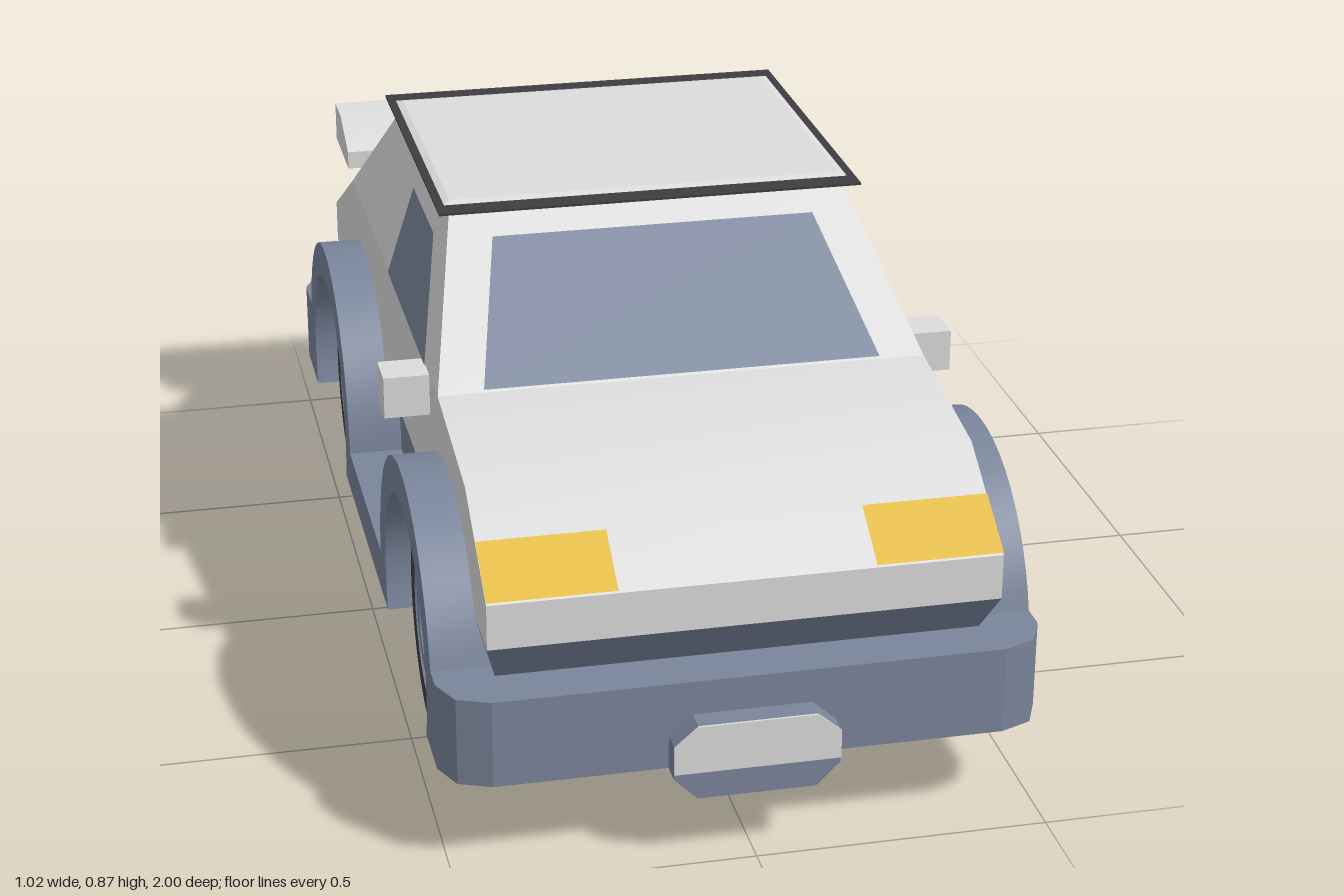
import * as THREE from 'three';
import { toCreasedNormals } from 'three/addons/utils/BufferGeometryUtils.js';

const material = (name, color) => Object.assign(new THREE.MeshStandardMaterial({ color }), { name });

export function createModel() {
  const white = material('white paint', 0xdcdcdc);
  const slate = material('slate trim and glass', 0x7a859b);
  const dark = material('dark trim', 0x403d42);
  const black = material('tyre black', 0x242325);
  const yellow = material('headlight yellow', 0xe2b936);
  const red = material('taillight red', 0xdc5045);

  const car = new THREE.Group();
  car.name = 'car';
  const add = (name, geometry, mat, parent = car) => {
    const mesh = new THREE.Mesh(geometry, mat);
    mesh.name = name;
    parent.add(mesh);
    return mesh;
  };
  const box = (name, mat, x0, x1, y0, y1, z0, z1) => add(name,
    new THREE.BoxGeometry(x1 - x0, y1 - y0, z1 - z0)
      .translate((x0 + x1) / 2, (y0 + y1) / 2, (z0 + z1) / 2), mat);
  const shapeOf = (points) => new THREE.Shape(points.map(([a, b]) => new THREE.Vector2(a, b)));

  // Side profile of [z, y] points, extruded across x
  const extrudeX = (points, x0, x1) => {
    const g = new THREE.ExtrudeGeometry(shapeOf(points), { depth: x1 - x0, bevelEnabled: false });
    return g.rotateY(-Math.PI / 2).translate(x1, 0, 0);
  };

  // Tapered block; each level is [y, half width, rear z, front z]
  const frustum = (low, high) => {
    const g = new THREE.BoxGeometry(2, 2, 2);
    const p = g.attributes.position;
    for (let i = 0; i < p.count; i++) {
      const [y, w, zr, zf] = p.getY(i) > 0 ? high : low;
      p.setXYZ(i, p.getX(i) * w, y, p.getZ(i) > 0 ? zf : zr);
    }
    g.computeVertexNormals();
    return g;
  };

  // Flat painted panel, lifted slightly off the body and facing outward
  const panel = (name, mat, corners) => {
    const v = corners.map((c) => new THREE.Vector3(...c));
    const n = v[1].clone().sub(v[0]).cross(v[2].clone().sub(v[0])).normalize();
    if (n.dot(v[0].clone().sub(new THREE.Vector3(0, 0.35, 0))) < 0) {
      v.reverse();
      n.negate();
    }
    v.forEach((c) => c.addScaledVector(n, 0.004));
    const tris = [];
    for (let i = 1; i < v.length - 1; i++) tris.push(v[0], v[i], v[i + 1]);
    const g = new THREE.BufferGeometry().setFromPoints(tris);
    g.computeVertexNormals();
    return add(name, g, mat);
  };

  // Main white body and cabin
  add('body', toCreasedNormals(extrudeX([[0.92, 0.39], [0.92, 0.47], [0.73, 0.59], [0.45, 0.63],
    [-0.65, 0.63], [-0.96, 0.47], [-0.96, 0.39]], -0.43, 0.43), 0.45), white);
  add('cabin', frustum([0.63, 0.43, -0.65, 0.45], [0.862, 0.355, -0.41, 0.14]), white);
  box('roofRim', dark, -0.382, 0.382, 0.86, 0.864, -0.473, 0.197);
  add('roofPanel', frustum([0.864, 0.367, -0.435, 0.155], [0.868, 0.355, -0.42, 0.14]), white);

  // Lower hull and tapered valance
  add('valance', frustum([0.315, 0.41, -0.91, 0.87], [0.39, 0.43, -0.96, 0.92]), slate);
  box('floorHull', slate, -0.41, 0.41, 0.16, 0.32, -0.82, 0.84);

  // Side skirts with raised wheel arches and round cutouts
  const axleY = 0.235, frontZ = 0.54, rearZ = -0.495;
  const arc = (z, r, from, to) => Array.from({ length: 25 }, (_, i) => {
    const a = from + (to - from) * i / 24;
    return [z + r * Math.cos(a), axleY + r * Math.sin(a)];
  });
  const cut = (z) => arc(z, 0.24, Math.PI + 0.318, -0.318);
  const skirt = [[0.85, 0.16], [0.85, 0.315],
    ...arc(frontZ, 0.305, 0.265, Math.PI - 0.016),
    ...arc(rearZ, 0.305, 0.016, Math.PI - 0.265),
    [-0.82, 0.315], [-0.82, 0.16], ...cut(rearZ), ...cut(frontZ)];
  for (const s of [1, -1]) {
    const [a, b] = s > 0 ? [0.4, 0.51] : [-0.51, -0.4];
    add(s > 0 ? 'leftSkirt' : 'rightSkirt', toCreasedNormals(extrudeX(skirt, a, b), 0.5), slate);
  }

  // Bumpers with cut corners, and number plate holders
  const bumper = shapeOf([[-0.51, -0.8], [0.51, -0.8], [0.51, -0.88], [0.485, -0.935], [0.43, -0.957],
    [-0.43, -0.957], [-0.485, -0.935], [-0.51, -0.88]]);
  const holder = shapeOf([[-0.1, 0.12], [0.1, 0.12], [0.14, 0.16], [0.14, 0.22], [0.1, 0.255],
    [-0.1, 0.255], [-0.14, 0.22], [-0.14, 0.16]]);
  const plate = shapeOf([[-0.14, 0.17], [0.14, 0.17], [0.14, 0.22], [0.1, 0.255], [-0.1, 0.255], [-0.14, 0.22]]);
  for (const end of ['front', 'rear']) {
    const group = new THREE.Group();
    group.name = end + 'Bumper';
    if (end === 'rear') group.rotation.y = Math.PI;
    add('bumperBar', new THREE.ExtrudeGeometry(bumper, { depth: 0.155, bevelEnabled: false })
      .rotateX(-Math.PI / 2).translate(0, 0.16, 0), slate, group);
    add('plateHolder', new THREE.ExtrudeGeometry(holder, { depth: 0.046, bevelEnabled: false })
      .translate(0, 0, 0.95), slate, group);
    add('plate', new THREE.ExtrudeGeometry(plate, { depth: 0.004, bevelEnabled: false })
      .translate(0, 0, 0.996), white, group);
    car.add(group);
  }

  // Windows
  const screenZ = (y) => 0.45 - (y - 0.63) / 0.232 * 0.31;
  const backZ = (y) => -0.65 + (y - 0.63) / 0.232 * 0.24;
  const sideX = (y) => 0.43 - (y - 0.63) / 0.232 * 0.075;
  panel('windscreen', slate, [[-0.35, 0.632, screenZ(0.632)], [0.35, 0.632, screenZ(0.632)],
    [0.29, 0.815, screenZ(0.815)], [-0.29, 0.815, screenZ(0.815)]]);
  panel('rearWindow', slate, [[-0.335, 0.68, backZ(0.68)], [0.335, 0.68, backZ(0.68)],
    [0.29, 0.815, backZ(0.815)], [-0.29, 0.815, backZ(0.815)]]);

  // Mirrored small parts
  for (const s of [1, -1]) {
    const side = s > 0 ? 'left' : 'right';
    const span = (a, b) => (s > 0 ? [a, b] : [-b, -a]);
    panel(side + 'Window', slate, [[0.32, 0.632], [0.11, 0.795], [-0.13, 0.795], [-0.13, 0.632]]
      .map(([z, y]) => [s * sideX(y), y, z]));
    panel(side + 'Headlight', yellow, [[s * 0.215, 0.471, 0.918], [s * 0.43, 0.471, 0.918],
      [s * 0.43, 0.533, 0.82], [s * 0.215, 0.533, 0.82]]);
    panel(side + 'Taillight', red, [[s * 0.325, 0.471, -0.958], [s * 0.43, 0.471, -0.958],
      [s * 0.43, 0.542, -0.82], [s * 0.325, 0.542, -0.82]]);
    box(side + 'Mirror', white, ...span(0.41, 0.51), 0.555, 0.63, 0.28, 0.355);
    box(side + 'SpoilerPost', dark, ...span(0.145, 0.215), 0.5, 0.64, -0.86, -0.77);
    box(side + 'UnderBlock', dark, ...span(0.125, 0.285), 0.1, 0.17, -0.11, 0.05);
  }

  // Rear spoiler
  add('spoiler', toCreasedNormals(extrudeX([[-0.72, 0.63], [-0.72, 0.665], [-0.82, 0.707],
    [-0.91, 0.707], [-0.91, 0.63]], -0.43, 0.43), 0.45), white);

  // Wheels: [radius, distance from the centre line] profiles turned about the axle
  const turned = (points) => toCreasedNormals(
    new THREE.LatheGeometry(points.map(([r, x]) => new THREE.Vector2(r, x)), 40), 0.5);
  const tread = turned([[0, 0.2], [0.2, 0.2], [0.235, 0.28], [0.235, 0.39], [0.2, 0.47]]);
  const sidewall = turned([[0.2, 0.47], [0.145, 0.472]]);
  const rim = turned([[0.145, 0.472], [0.14, 0.462], [0.095, 0.462], [0.095, 0.475], [0.073, 0.475],
    [0.068, 0.455], [0, 0.455]]);
  const well = new THREE.CircleGeometry(0.242, 32, -0.31, Math.PI + 0.62).rotateY(Math.PI / 2);
  for (const [end, z] of [['front', frontZ], ['rear', rearZ]]) {
    for (const s of [1, -1]) {
      const wheel = new THREE.Group();
      wheel.name = end + (s > 0 ? 'Left' : 'Right') + 'Wheel';
      wheel.position.set(0, axleY, z);
      wheel.rotation.y = s > 0 ? 0 : Math.PI;
      for (const [name, g, m] of [['tread', tread, black], ['sidewall', sidewall, dark], ['rim', rim, slate]]) {
        add(name, g, m, wheel).rotation.z = -Math.PI / 2;
      }
      add('wheelWell', well, black, wheel).position.x = 0.433;
      car.add(wheel);
    }
  }
  return car;
}
